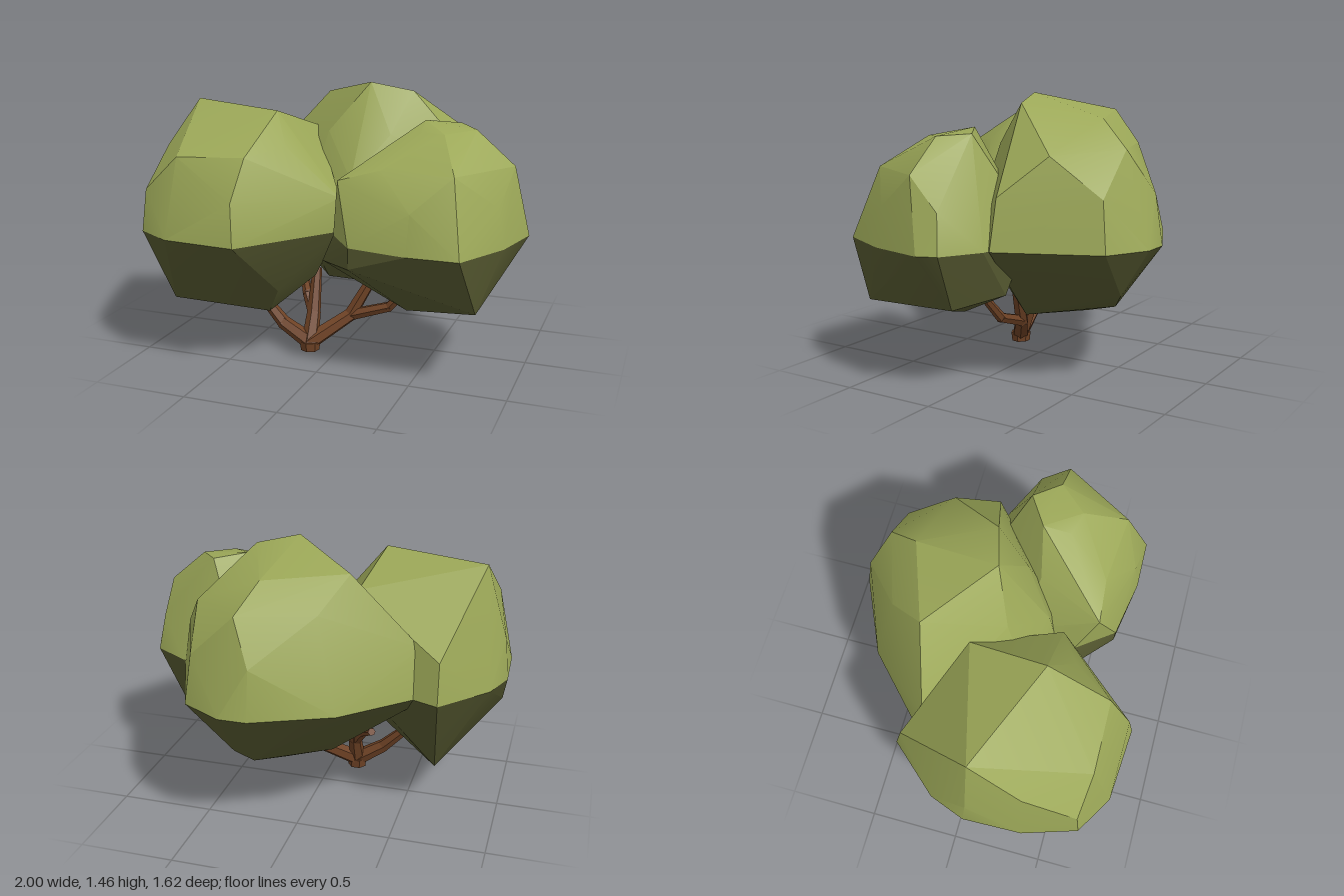
import * as THREE from 'three';
import { toCreasedNormals } from 'three/addons/utils/BufferGeometryUtils.js';
import { ConvexGeometry } from 'three/addons/geometries/ConvexGeometry.js';

const SPLIT = 0.72; // height where sunlit leaves meet the shaded underside

// Each clump: outline [x, z] at the split, main corners [x, y, z] of crown and base,
// and how strongly its shoulders taper
const rightClump = {
  taper: 0.5,
  outline: [[-0.31, 0.81], [-0.7, 0.78], [-0.9, 0.66], [-0.99, 0.38], [-1, 0.07], [-0.93, -0.12], [-0.7, -0.38],
    [-0.25, -0.2], [0.06, 0.33]],
  crown: [[-0.86, 1.34, 0.07], [-0.28, 1.33, 0.31], [-0.22, 1.2, -0.1], [-0.31, 1.14, 0.65], [-0.18, 1.17, 0.44],
    [0.07, 0.9, 0.33]],
  base: [[-0.78, 0.34, 0.56], [-0.66, 0.24, -0.11], [-0.3, 0.27, 0.41], [-0.97, 0.55, 0.2], [-0.21, 0.42, 0.5],
    [-0.08, 0.46, 0.3]],
};
const backClump = {
  taper: 0.65,
  outline: [[-0.65, -0.25], [-0.25, -0.63], [0.15, -0.81], [0.3, -0.81], [0.52, -0.69], [0.6, -0.44], [0.74, -0.18],
    [0.3, 0.24], [0.09, 0.29], [-0.2, 0.22]],
  crown: [[0.11, 1.455, -0.04], [0.33, 1.41, -0.1], [-0.24, 1.36, -0.34], [0.18, 1.335, -0.49], [0.55, 1.175, -0.4]],
  base: [[0.28, 0.47, -0.65], [0.2, 0.39, -0.58], [-0.12, 0.36, 0], [0.32, 0.31, -0.12], [0.1, 0.32, -0.37],
    [-0.15, 0.38, -0.33]],
};
const leftClump = {
  taper: 0.75,
  outline: [[0.52, 0.655], [0.78, 0.65], [0.93, 0.36], [1, 0.06], [0.96, -0.04], [0.76, -0.16], [0.45, -0.2],
    [0.1, 0.1], [0.06, 0.4], [0.21, 0.6]],
  crown: [[0.455, 1.29, 0.1], [0.73, 1.26, 0.135], [0.62, 1.27, 0], [0.6, 1.25, 0.28], [0.47, 1.25, 0.245],
    [0.93, 1.09, 0.14], [0.12, 1.03, 0.5]],
  base: [[0.83, 0.42, 0.5], [0.4, 0.295, 0.22], [0.21, 0.61, 0.6], [0, 0.58, 0.4], [0.83, 0.43, -0.02],
    [0.6, 0.48, -0.18]],
};

// Faceted shell around a set of corners, left open across the split plane
function shell(points) {
  const p = new ConvexGeometry(points.map((v) => new THREE.Vector3(...v))).getAttribute('position');
  const kept = [];
  for (let i = 0; i < p.count; i += 3) {
    const onSplit = [0, 1, 2].every((k) => Math.abs(p.getY(i + k) - SPLIT) < 1e-5);
    if (!onSplit) kept.push(...p.array.slice(i * 3, i * 3 + 9));
  }
  const geometry = new THREE.BufferGeometry();
  geometry.setAttribute('position', new THREE.Float32BufferAttribute(kept, 3));
  return toCreasedNormals(geometry, 0.42);
}

// Shoulder corners: the outline drawn in towards the top, alternating low and high
function shoulders(outline, top, taper) {
  const mean = (k) => outline.reduce((sum, p) => sum + p[k], 0) / outline.length;
  const cx = mean(0);
  const cz = mean(1);
  return outline.map(([x, z], i) => {
    const rise = i % 2 ? 0.65 : 0.35;
    const scale = (1 - rise * rise) ** taper;
    return [cx + (x - cx) * scale, SPLIT + (top - SPLIT) * rise, cz + (z - cz) * scale];
  });
}

function foliage(name, { taper, outline, crown, base }, leaf, shade) {
  const rim = outline.map(([x, z]) => [x, SPLIT, z]);
  const top = new THREE.Mesh(shell([...rim, ...shoulders(outline, crown[0][1], taper), ...crown]), leaf);
  top.name = 'sunlitLeaves';
  const bottom = new THREE.Mesh(shell([...rim, ...base]), shade);
  bottom.name = 'shadedLeaves';
  const clump = new THREE.Group();
  clump.name = name;
  return clump.add(top, bottom);
}

// Branch of tapered six-sided segments, slightly overlapping at the joints
function branch(name, joints, radii, material) {
  const group = new THREE.Group();
  group.name = name;
  for (let i = 1; i < joints.length; i++) {
    const from = new THREE.Vector3(...joints[i - 1]);
    const to = new THREE.Vector3(...joints[i]);
    const dir = to.clone().sub(from);
    const geometry = new THREE.CylinderGeometry(radii[i], radii[i - 1], dir.length() + 0.02, 6);
    const segment = new THREE.Mesh(toCreasedNormals(geometry, 0.5), material);
    segment.name = 'branchSegment';
    segment.position.copy(from).lerp(to, 0.5);
    segment.quaternion.setFromUnitVectors(new THREE.Vector3(0, 1, 0), dir.normalize());
    group.add(segment);
  }
  return group;
}

export function createModel() {
  const material = (name, color) => {
    const m = new THREE.MeshStandardMaterial({ color });
    m.name = name;
    return m;
  };
  const leaf = material('leafGreen', 0x9ca858);
  const shade = material('shadedGreen', 0x54572f);
  const bark = material('barkBrown', 0x6e4225);

  const model = new THREE.Group();
  model.name = 'bush';

  // Foliage
  model.add(
    foliage('frontRightFoliage', rightClump, leaf, shade),
    foliage('backFoliage', backClump, leaf, shade),
    foliage('frontLeftFoliage', leftClump, leaf, shade),
  );

  // Trunk foot
  const foot = new THREE.Mesh(toCreasedNormals(new THREE.CylinderGeometry(0.058, 0.052, 0.05, 7), 0.5), bark);
  foot.name = 'trunkFoot';
  foot.position.set(-0.15, 0.025, 0.22);
  model.add(foot);

  // Branches from the foot, and twigs from the forks
  const root = [-0.15, 0.045, 0.22];
  const middleFork = [-0.15, 0.19, 0.16];
  const leftFork = [0.04, 0.18, 0.09];
  const thick = [0.048, 0.038, 0.026];
  const thin = [0.034, 0.028, 0.022];
  model.add(
    branch('rightBranch', [root, [-0.3, 0.14, 0.23], [-0.46, 0.3, 0.21]], thick, bark),
    branch('middleBranch', [root, middleFork, [-0.16, 0.42, 0.08]], thick, bark),
    branch('leftBranch', [root, leftFork, [0.2, 0.48, 0.03]], thick, bark),
    branch('middleTwig', [middleFork, [-0.21, 0.28, 0.1], [-0.29, 0.36, -0.04]], thin, bark),
    branch('leftTwig', [leftFork, [0.26, 0.25, 0.08], [0.38, 0.38, 0.1]], thin, bark),
  );
  return model;
}
